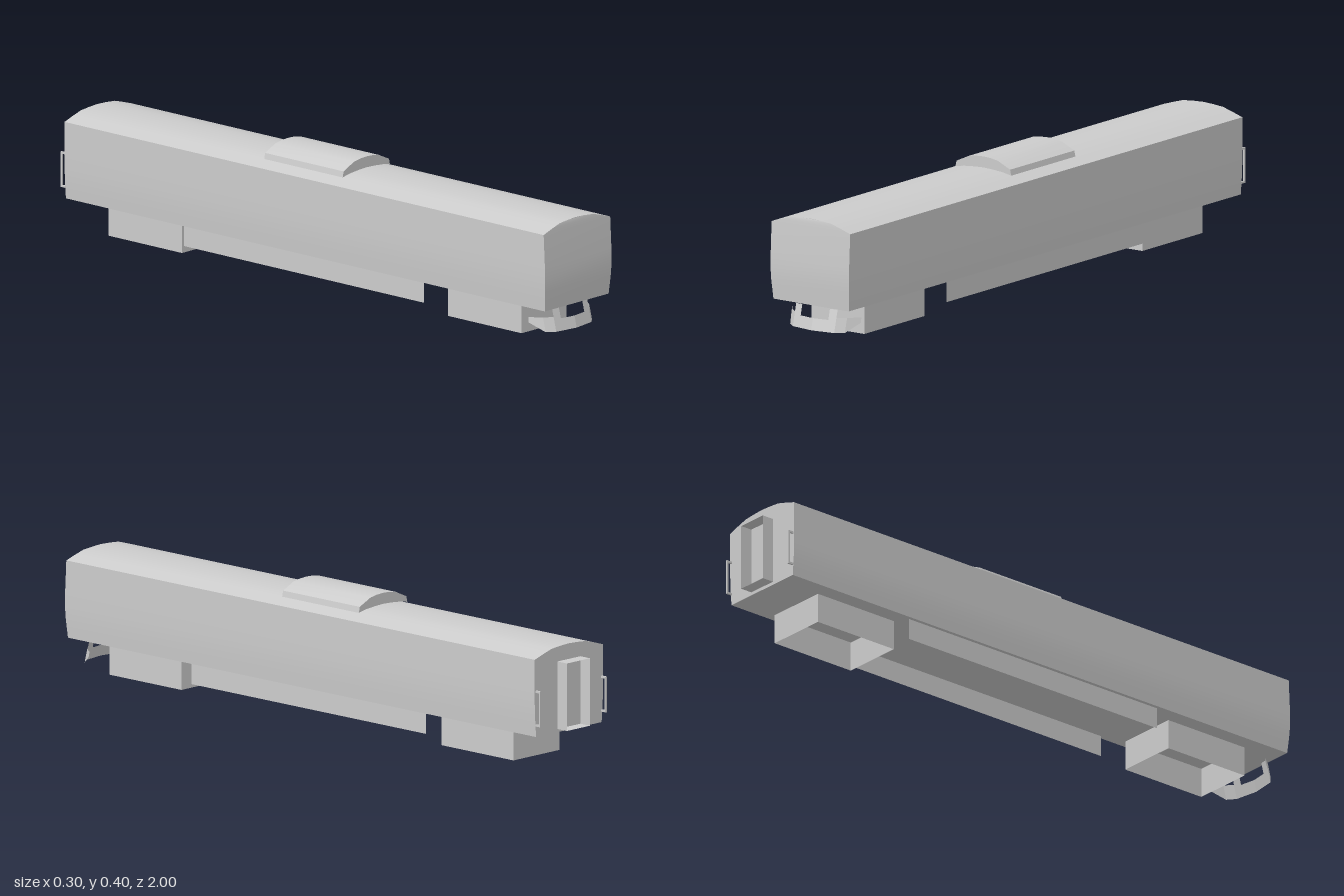
import * as THREE from 'three';
import { toCreasedNormals } from 'three/addons/utils/BufferGeometryUtils.js';

const solid = new THREE.MeshStandardMaterial({ color: 0xcccccc });
const sheet = new THREE.MeshStandardMaterial({ color: 0xcccccc, side: THREE.DoubleSide });

function add(parent, name, geometry, material = solid) {
  const mesh = new THREE.Mesh(geometry, material);
  mesh.name = name;
  parent.add(mesh);
  return mesh;
}

// Four-cornered loops stacked upwards and closed at both ends.
function loft(loops) {
  const pos = loops.flat(2);
  const index = [];
  for (let r = 0; r < loops.length - 1; r++) {
    for (let i = 0; i < 4; i++) {
      const a = r * 4 + i, b = r * 4 + (i + 1) % 4;
      index.push(a, b, b + 4, a, b + 4, a + 4);
    }
  }
  const t = (loops.length - 1) * 4;
  index.push(0, 2, 1, 0, 3, 2, t, t + 1, t + 2, t, t + 2, t + 3);
  const g = new THREE.BufferGeometry();
  g.setAttribute('position', new THREE.Float32BufferAttribute(pos, 3));
  g.setIndex(index);
  return toCreasedNormals(g, 0.25);
}

// Box without top and bottom: four thin walls, open along y.
function openBox(w, h, d) {
  const g = new THREE.BoxGeometry(w, h, d).toNonIndexed();
  const keep = [0, 1, 4, 5]; // +x, -x, +z, -z sides
  const out = new THREE.BufferGeometry();
  for (const key of ['position', 'normal']) {
    const a = g.attributes[key].array;
    out.setAttribute(key, new THREE.Float32BufferAttribute(
      keep.flatMap(f => Array.from(a.slice(f * 18, f * 18 + 18))), 3));
  }
  return out;
}

// Closed outline, mirrored across x, extruded from z0 to z1.
function mirroredPrism(half, z0, z1) {
  const left = half.filter(p => p[0] > 0).map(([x, y]) => [-x, y]).reverse();
  const shape = new THREE.Shape([...half, ...left].map(p => new THREE.Vector2(...p)));
  const g = new THREE.ExtrudeGeometry(shape, { depth: z1 - z0, bevelEnabled: false });
  g.translate(0, 0, z0);
  return toCreasedNormals(g, 0.4);
}

export function createModel() {
  const group = new THREE.Group();
  group.name = 'railCar';

  // Body shell: height, half width and front position of each level
  const back = -0.96;
  const levels = [
    [0.10, 0.142, 0.993], [0.125, 0.144, 0.995], [0.16, 0.1465, 0.998], [0.20, 0.148, 1.0],
    [0.24, 0.148, 0.999], [0.339, 0.148, 0.994], [0.351, 0.11, 0.993],
    [0.361, 0.075, 0.992], [0.3645, 0.035, 0.991], [0.366, 0.001, 0.991],
  ];
  add(group, 'body', loft(levels.map(([y, w, z]) =>
    [[-w, y, z], [w, y, z], [w, y, back], [-w, y, back]])));

  // Roof pod
  add(group, 'roofPod', mirroredPrism([
    [0, 0.36], [0.08, 0.36], [0.105, 0.355], [0.101, 0.373],
    [0.055, 0.394], [0.028, 0.3985], [0, 0.40],
  ], -0.185, 0.135));

  // Bogies, open underneath
  for (const [name, z] of [['frontBogie', 0.71], ['rearBogie', -0.675]]) {
    add(group, name, openBox(0.2, 0.093, 0.3), sheet).position.set(0, 0.0465, z);
  }

  for (const s of [1, -1]) {
    const side = s > 0 ? 'left' : 'right';
    // Thin underfloor skirts
    const skirt = add(group, side + 'Skirt', new THREE.PlaneGeometry(0.98, 0.066), sheet);
    skirt.rotation.y = s * Math.PI / 2;
    skirt.position.set(s * 0.13, 0.067, 0);
    // Rear grab rails
    const rail = new THREE.Group();
    rail.name = side + 'GrabRail';
    add(rail, 'railBar', new THREE.BoxGeometry(0.006, 0.11, 0.006)).position.z = -0.017;
    for (const e of [1, -1]) {
      add(rail, 'railFoot', new THREE.BoxGeometry(0.006, 0.006, 0.02)).position.set(0, e * 0.052, -0.01);
    }
    rail.position.set(s * 0.142, 0.188, back);
    group.add(rail);
  }

  // Rear gangway: open tube around the end door
  const gangway = add(group, 'rearGangway', openBox(0.1, 0.04, 0.208), sheet);
  gangway.rotation.x = Math.PI / 2;
  gangway.position.set(0, 0.214, -0.98);

  // Front pilot: thin sheet panels swept back at the sides
  const pilot = new THREE.Group();
  pilot.name = 'pilot';
  const sweep = (x, y) => {
    const a = Math.abs(x);
    return 0.993 - 0.25 * (y - 0.022) - 0.015 * Math.min(1, a / 0.1)
      - 0.055 * Math.max(0, a - 0.09) / 0.042;
  };
  const panels = [
    ['crossPanel', [[0, 0.022], [0.052, 0.022], [0.052, 0.058], [0, 0.058]]],
    ['prong', [[0.052, 0.022], [0.078, 0.022], [0.078, 0.091], [0.052, 0.091]]],
    ['innerWing', [[0.078, 0.022], [0.103, 0.022], [0.103, 0.066], [0.078, 0.066]]],
    ['outerWing', [[0.103, 0.022], [0.131, 0.05], [0.13, 0.066], [0.103, 0.066]]],
  ];
  for (const s of [1, -1]) {
    for (const [name, pts] of panels) {
      const g = new THREE.ShapeGeometry(
        new THREE.Shape(pts.map(([x, y]) => new THREE.Vector2(s * x, y))));
      const p = g.attributes.position;
      for (let i = 0; i < p.count; i++) p.setZ(i, sweep(p.getX(i), p.getY(i)));
      g.computeVertexNormals();
      add(pilot, name, g, sheet);
    }
  }
  group.add(pilot);

  return group;
}
